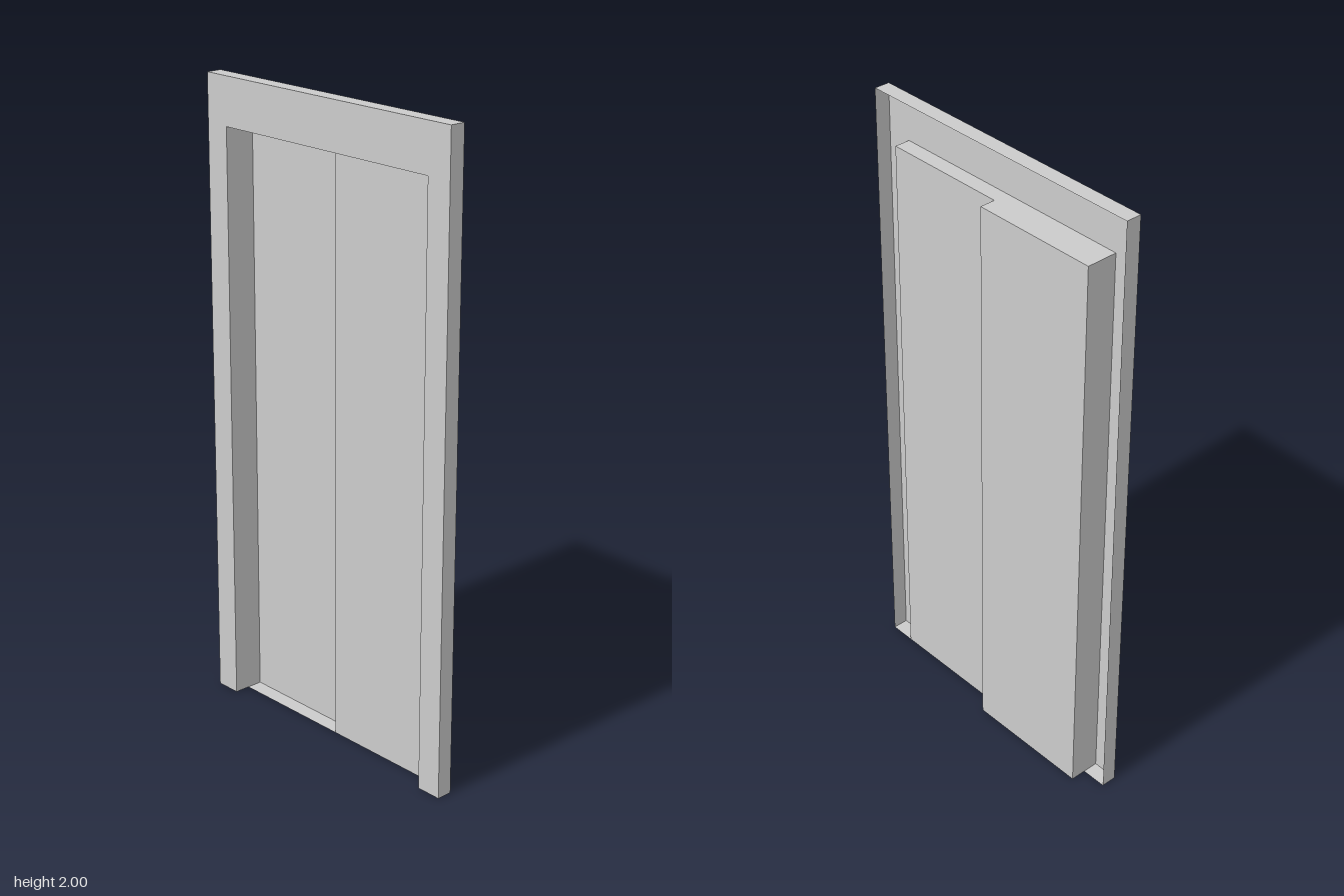
import * as THREE from 'three';

const W = 0.5, H = 2;            // outer frame half width and height
const w = 0.417, h = 1.85;       // opening half width and height
const FRONT = 0.05, MID = 0, BACK = -0.05;

const material = new THREE.MeshStandardMaterial({ color: 0xcccccc, side: THREE.DoubleSide });

// Flat sheet with the given outline, facing +z
function sheet(points, z) {
  const shape = new THREE.Shape(points.map(([x, y]) => new THREE.Vector2(x, y)));
  return new THREE.ShapeGeometry(shape).translate(0, 0, z);
}

// Walls along a closed counter-clockwise outline, from z0 (back) to z1 (front)
function walls(points, z0, z1) {
  const pos = [];
  points.forEach(([ax, ay], i) => {
    const [bx, by] = points[(i + 1) % points.length];
    pos.push(ax, ay, z0, bx, by, z0, bx, by, z1);
    pos.push(ax, ay, z0, bx, by, z1, ax, ay, z1);
  });
  const geometry = new THREE.BufferGeometry();
  geometry.setAttribute('position', new THREE.Float32BufferAttribute(pos, 3));
  geometry.computeVertexNormals();
  return geometry;
}

const rect = (x0, x1) => [[x0, 0], [x1, 0], [x1, h], [x0, h]];

export function createModel() {
  const model = new THREE.Group();
  model.name = 'slidingDoor';
  const add = (name, geometry, parent = model) => {
    const mesh = new THREE.Mesh(geometry, material);
    mesh.name = name;
    parent.add(mesh);
  };

  // Door frame: a face around the opening with side walls, open at the back
  const frame = new THREE.Group();
  frame.name = 'frame';
  model.add(frame);
  const outline = [[-W, 0], [-w, 0], [-w, h], [w, h], [w, 0], [W, 0], [W, H], [-W, H]];
  add('frameFace', sheet(outline, FRONT), frame);
  add('frameWalls', walls(outline, MID, FRONT), frame);

  // Near door leaf on the left, far leaf set one step deeper on the right
  add('leftDoor', sheet(rect(0, w), MID));
  add('rightDoor', sheet(rect(-w, 0), BACK));
  add('rightDoorRecess', walls(rect(-w, 0), BACK, MID));

  return model;
}
